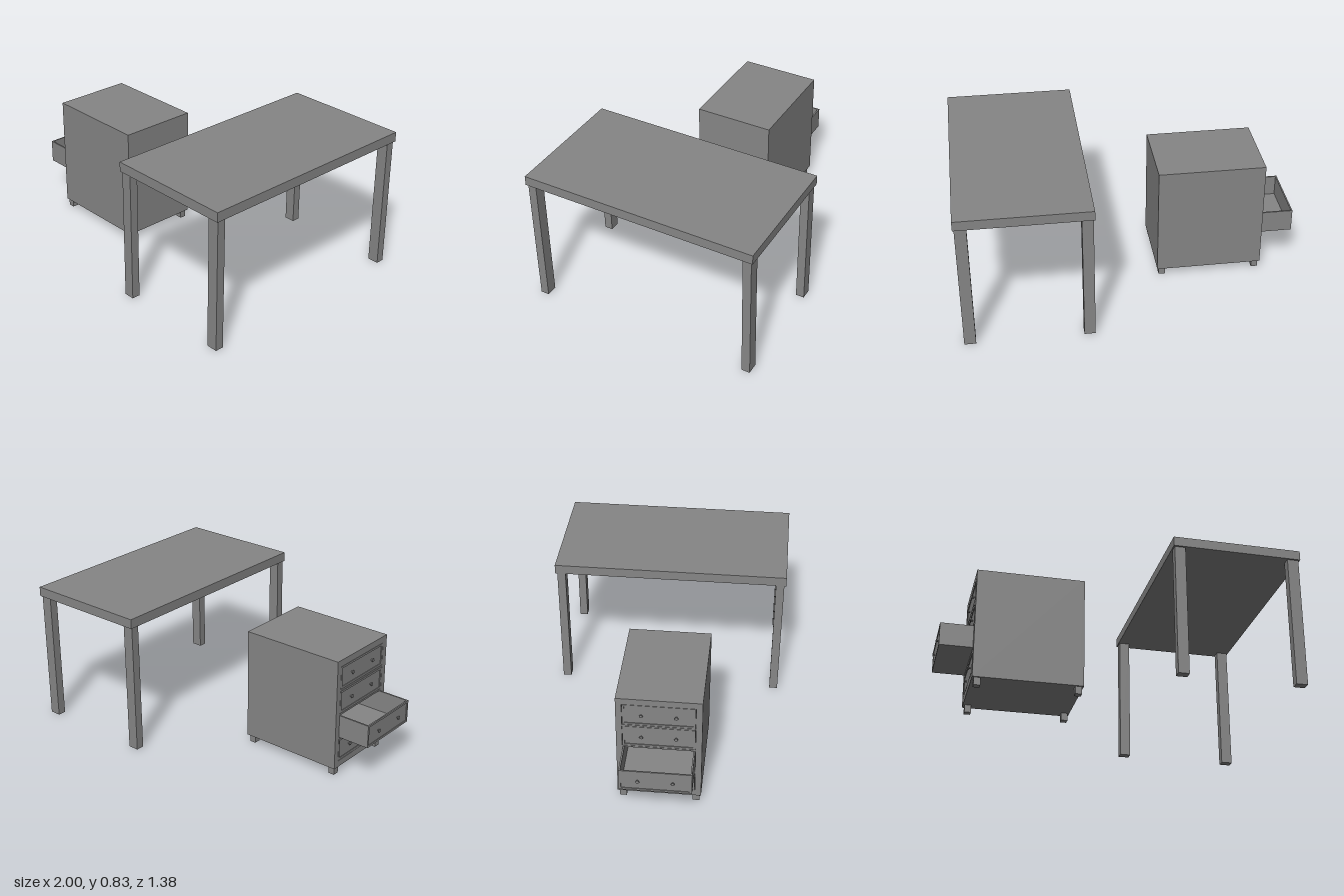
import * as THREE from 'three';

const material = new THREE.MeshStandardMaterial({ color: 0x868686, flatShading: true });

function add(parent, name, geometry) {
  const mesh = new THREE.Mesh(geometry, material);
  mesh.name = name;
  parent.add(mesh);
  return mesh;
}

// Box given by its extents on each axis
function box(parent, name, [x0, x1], [y0, y1], [z0, z1]) {
  const mesh = add(parent, name, new THREE.BoxGeometry(x1 - x0, y1 - y0, z1 - z0));
  mesh.position.set((x0 + x1) / 2, (y0 + y1) / 2, (z0 + z1) / 2);
}

function rectangle(PathType, [z0, z1], [y0, y1]) {
  return new PathType([[z0, y0], [z1, y0], [z1, y1], [z0, y1]].map(([z, y]) => new THREE.Vector2(z, y)));
}

// Plate in the z-y plane with rectangular openings, extruded from x0 to x1
function frame(parent, name, [x0, x1], y, z, openings) {
  const shape = rectangle(THREE.Shape, z, y);
  shape.holes = openings.map(o => rectangle(THREE.Path, o.z, o.y));
  const geometry = new THREE.ExtrudeGeometry(shape, { depth: x1 - x0, bevelEnabled: false });
  geometry.rotateY(-Math.PI / 2);
  add(parent, name, geometry).position.x = x1;
}

function makeTable() {
  const table = new THREE.Group();
  table.name = 'table';
  box(table, 'tableTop', [0.249, 1], [0.774, 0.83], [-0.688, 0.688]);
  for (const x of [[0.256, 0.319], [0.926, 0.992]])
    for (const z of [[-0.677, -0.628], [0.628, 0.677]])
      box(table, 'tableLeg', x, [0, 0.774], z);
  return table;
}

const FRONT = -0.8, DRAWER_Z = [-0.153, 0.243], DRAWER_H = 0.135;
const DRAWER_CENTRES = [0.153, 0.302, 0.451, 0.6];

// Open-topped drawer with a sunken front panel and two flared knobs
function makeDrawer(yc) {
  const drawer = new THREE.Group();
  drawer.name = 'drawer';
  const y = [yc - DRAWER_H / 2, yc + DRAWER_H / 2], [z0, z1] = DRAWER_Z;
  const wall = 0.009, rim = 0.012, panel = FRONT + 0.004, inside = FRONT + 0.008, back = FRONT + 0.58;
  frame(drawer, 'drawerFrontRim', [FRONT, panel], y, DRAWER_Z,
    [{ y: [y[0] + rim, y[1] - rim], z: [z0 + rim, z1 - rim] }]);
  box(drawer, 'drawerFront', [panel, inside], y, DRAWER_Z);
  box(drawer, 'drawerBack', [back - wall, back], y, DRAWER_Z);
  box(drawer, 'drawerSide', [inside, back - wall], y, [z0, z0 + wall]);
  box(drawer, 'drawerSide', [inside, back - wall], y, [z1 - wall, z1]);
  box(drawer, 'drawerFloor', [inside, back - wall], [y[0], y[0] + wall], [z0 + wall, z1 - wall]);

  const profile = [[0, 0], [0.005, 0], [0.005, 0.006], [0.011, 0.011], [0.009, 0.014], [0, 0.015]];
  for (const z of [-0.05, 0.14]) {
    const knob = add(drawer, 'knob', new THREE.LatheGeometry(profile.map(p => new THREE.Vector2(...p)), 12));
    knob.rotation.z = Math.PI / 2;
    knob.position.set(panel, yc, z);
  }
  return drawer;
}

function makeCabinet() {
  const cabinet = new THREE.Group();
  cabinet.name = 'cabinet';
  const gap = 0.002, y = [0.045, 0.708], z = [-0.188, 0.28];
  const openings = DRAWER_CENTRES.map(c => ({
    y: [c - DRAWER_H / 2 - gap, c + DRAWER_H / 2 + gap],
    z: [DRAWER_Z[0] - gap, DRAWER_Z[1] + gap],
  }));
  frame(cabinet, 'cabinetBody', [FRONT, -0.19], y, z, openings);
  box(cabinet, 'cabinetBack', [-0.19, -0.174], y, z);

  for (const x of [[-0.79, -0.752], [-0.222, -0.184]])
    for (const footZ of [[-0.176, -0.138], [0.233, 0.271]])
      box(cabinet, 'cabinetFoot', x, [0, y[0]], footZ);

  // Second drawer from the bottom is pulled out
  DRAWER_CENTRES.forEach((c, i) => {
    const drawer = makeDrawer(c);
    if (i === 1) drawer.position.x = -0.189;
    cabinet.add(drawer);
  });
  return cabinet;
}

export function createModel() {
  const model = new THREE.Group();
  model.name = 'tableAndCabinet';
  model.add(makeTable(), makeCabinet());
  return model;
}
